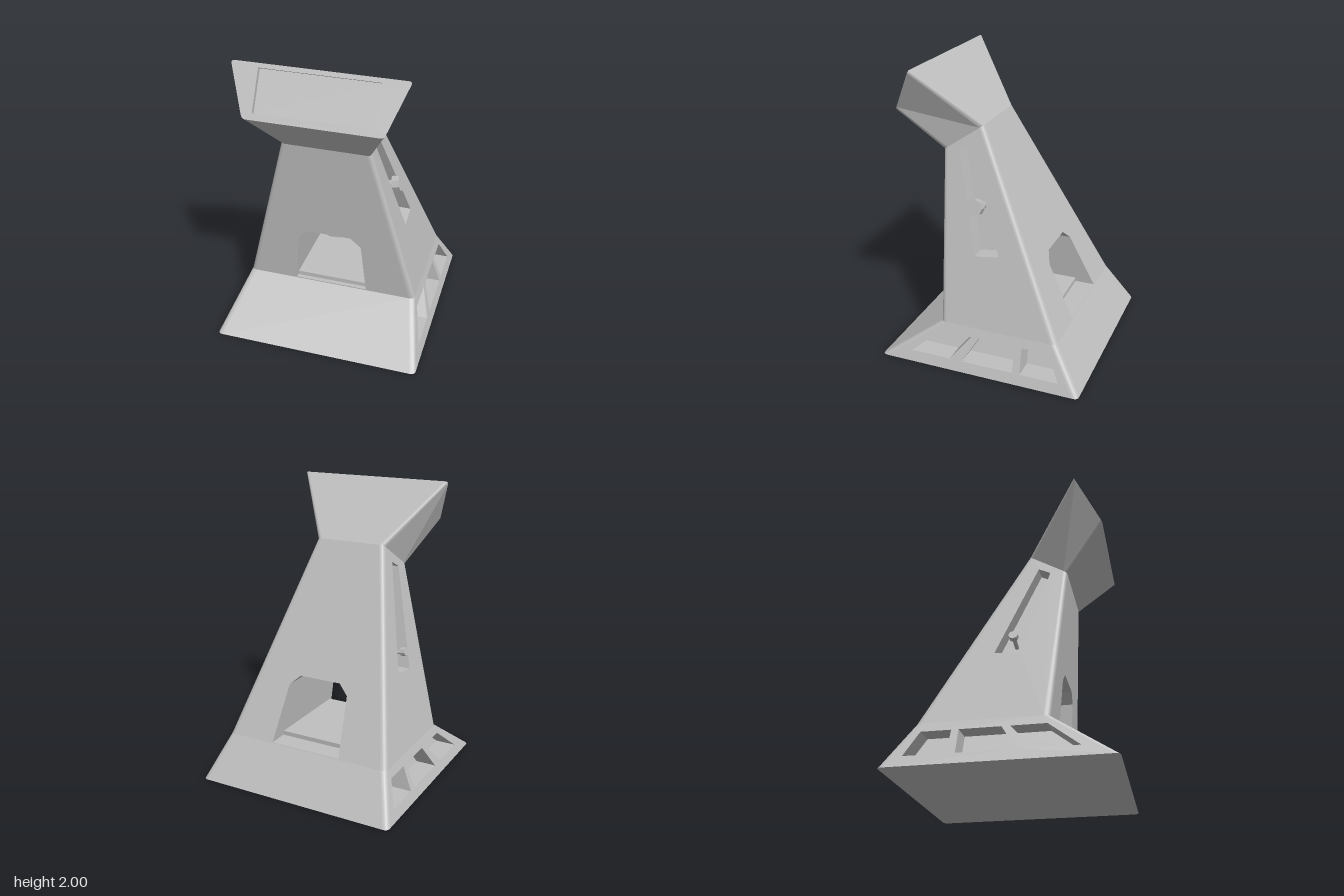
import * as THREE from 'three';
import { mergeGeometries } from 'three/addons/utils/BufferGeometryUtils.js';

const V = (x, y, z) => new THREE.Vector3(x, y, z);
const AXES = { x: ['z', 'y'], y: ['x', 'z'], z: ['x', 'y'] };

// Returns a function that lifts a 2D point onto the plane of pts along one axis
function lifter(pts, drop) {
  const [u, v] = AXES[drop];
  const a = pts[0];
  const n = pts[1].clone().sub(a).cross(pts[2].clone().sub(a));
  return (p, q) => {
    const r = V(0, 0, 0);
    r[u] = p;
    r[v] = q;
    r[drop] = a[drop] - (n[u] * (p - a[u]) + n[v] * (q - a[v])) / n[drop];
    return r;
  };
}

// Flat panel with holes; winding is turned to agree with the outward direction
function panel(pts, drop, out, holes = [], plane = pts) {
  const [u, v] = AXES[drop];
  const shape = new THREE.Shape(pts.map(p => new THREE.Vector2(p[u], p[v])));
  for (const h of holes) shape.holes.push(new THREE.Path(h.map(p => new THREE.Vector2(...p))));
  const geo = new THREE.ShapeGeometry(shape).toNonIndexed();
  const lift = lifter(plane, drop), pos = geo.attributes.position;
  for (let i = 0; i < pos.count; i++) pos.setXYZ(i, ...lift(pos.getX(i), pos.getY(i)).toArray());
  geo.deleteAttribute('uv');
  geo.computeVertexNormals();
  if (V(0, 0, 0).fromBufferAttribute(geo.attributes.normal, 0).dot(out) < 0) {
    for (let i = 0; i < pos.count; i += 3) {
      const b = V(0, 0, 0).fromBufferAttribute(pos, i + 1);
      const c = V(0, 0, 0).fromBufferAttribute(pos, i + 2);
      pos.setXYZ(i + 1, c.x, c.y, c.z);
      pos.setXYZ(i + 2, b.x, b.y, b.z);
    }
    geo.computeVertexNormals();
  }
  return geo;
}

// Strip between two rows of points, smooth or faceted
function strip(a, b, closed, smooth) {
  const pos = [], idx = [], n = a.length;
  a.forEach((p, i) => pos.push(...p.toArray(), ...b[i].toArray()));
  for (let i = 0; i < (closed ? n : n - 1); i++) {
    const j = (i + 1) % n;
    idx.push(2 * i, 2 * j, 2 * i + 1, 2 * j, 2 * j + 1, 2 * i + 1);
  }
  let geo = new THREE.BufferGeometry();
  geo.setAttribute('position', new THREE.Float32BufferAttribute(pos, 3));
  geo.setIndex(idx);
  if (smooth) geo.computeVertexNormals();
  geo = geo.toNonIndexed();
  if (!smooth) geo.computeVertexNormals();
  return geo;
}

// Section ring: front and back edges, each corner rounded into an arc of points
function ring(xf, yf, zf, xb, yb, zb, r) {
  const c = [V(xf, yf, zf), V(xb, yb, zb), V(-xb, yb, zb), V(-xf, yf, zf)];
  return c.map((p, i) => {
    const near = q => p.clone().add(q.clone().sub(p).setLength(r));
    return new THREE.QuadraticBezierCurve3(near(c[(i + 3) % 4]), p, near(c[(i + 1) % 4])).getPoints(5);
  });
}

export function createModel() {
  const model = new THREE.Group();
  const grey = new THREE.MeshStandardMaterial({ color: 0xc0c0c0, side: THREE.DoubleSide });
  grey.name = 'light grey';
  const add = (name, geo) => {
    const m = new THREE.Mesh(geo, grey);
    m.name = name;
    model.add(m);
    return m;
  };

  // Sections: foot, ankle, neck, head face
  const k = 0.265, sideX = y => 0.6 - k * (y - 0.295);
  const rings = [
    ring(0.71, 0, 0.71, 0.71, 0, -0.71, 0.035),
    ring(0.6, 0.295, 0.3, 0.6, 0.295, -0.52, 0.035),
    ring(sideX(1.42), 1.42, 0.385, sideX(1.6), 1.6, 0.12, 0.03),
    ring(0.44, 1.7, 0.65, 0.56, 2, 0.48, 0.025),
  ];

  // Openings, given as [x, y] on front and back and [z, y] on the sides
  const tunnel = [[-0.255, 0.302], [0.255, 0.302], [0.222, 0.67], [0.15, 0.735], [-0.15, 0.735], [-0.222, 0.67]];
  const slot = [[0.27, 1.43], [0.19, 1.475], [-0.07, 0.785], [0.1, 0.765]];
  const pockets = [
    [[0.49, 0.07], [0.29, 0.235], [0.07, 0.235], [0.205, 0.07]],
    [[0.115, 0.07], [0.015, 0.235], [-0.245, 0.235], [-0.245, 0.07]],
    [[-0.3, 0.07], [-0.29, 0.235], [-0.48, 0.235], [-0.565, 0.07]],
  ];
  const screen = [[-0.38, 1.737], [0.38, 1.737], [0.38, 1.975], [-0.38, 1.975]];

  // Recess: walls running inward from an outline, closed by a floor
  const recess = (name, plane, drop, outline, inward) => {
    const lift = lifter(plane, drop);
    const rim = outline.map(p => lift(...p));
    const bed = rim.map(p => p.clone().add(inward));
    add(name, mergeGeometries([
      strip(rim, bed, true, false),
      panel(bed, drop, inward.clone().negate()),
    ]));
  };

  // Shell panels with rounded corners
  const names = ['base', 'body', 'head'];
  const outs = [V(1, 0, 0), V(0, 0, -1), V(-1, 0, 0), V(0, 0, 1)];
  const tunnelPlanes = [];
  for (let i = 0; i < 3; i++) {
    const parts = [];
    for (let j = 0; j < 4; j++) {
      const lo = rings[i], hi = rings[i + 1], n = (j + 1) % 4;
      parts.push(strip(lo[j], hi[j], false, true));
      const quad = [lo[j][5], lo[n][0], hi[n][0], hi[j][5]];
      const isSide = j % 2 === 0, drop = isSide ? 'x' : 'z';
      if (i === 2) {
        parts.push(strip([quad[0], quad[1]], [quad[3], quad[2]], false, false));
        continue;
      }
      const holes = isSide ? (i === 0 ? pockets : [slot]) : (i === 1 ? [tunnel] : []);
      parts.push(panel(quad, drop, outs[j], holes));
      if (isSide) {
        holes.forEach(h => recess(i === 0 ? 'basePocket' : 'sideSlot', quad, 'x', h,
          outs[j].clone().multiplyScalar(i === 0 ? -0.14 : -0.11)));
      } else if (i === 1) tunnelPlanes.push(lifter(quad, 'z'));
    }
    add(names[i], mergeGeometries(parts));
  }
  add('underside', panel(rings[0].flat(), 'y', V(0, -1, 0)));

  // Head face with sunken screen
  const face = rings[3].flat();
  const facePlane = [V(-0.44, 1.7, 0.65), V(0.44, 1.7, 0.65), V(0.56, 2, 0.48)];
  add('headFace', panel(face, 'z', V(0, 0, 1), [screen], facePlane));
  recess('screen', facePlane, 'z', screen, V(0, -0.17, -0.3).setLength(0.03));

  // Viewing tunnel, stage and lens
  const [back, front] = tunnelPlanes.map(lift => tunnel.map(p => lift(...p)));
  add('tunnelWalls', strip(front, back, true, false));
  add('stage', new THREE.BoxGeometry(0.5, 0.03, 0.65)).position.set(0, 0.317, -0.055);
  add('lens', new THREE.CylinderGeometry(0.105, 0.105, 0.1, 32)).position.set(0, 0.695, 0.12);

  // Focus knobs on short shafts, square to the sloping sides
  const knob = (side, x, y, z, r, depth, sides) => {
    const g = new THREE.Group();
    g.name = side > 0 ? 'largeKnob' : 'smallKnob';
    const cap = new THREE.Mesh(new THREE.CylinderGeometry(r, r, depth, sides).toNonIndexed(), grey);
    cap.geometry.computeVertexNormals();
    cap.name = 'knobCap';
    const shaft = new THREE.Mesh(new THREE.CylinderGeometry(r * 0.45, r * 0.45, 0.16, 16), grey);
    shaft.name = 'knobShaft';
    shaft.position.y = -0.08;
    g.add(cap, shaft);
    g.position.set(side * x, y, z);
    g.rotation.z = -side * (Math.PI / 2 - Math.atan(k));
    model.add(g);
  };
  knob(1, 0.41, 1.09, 0.115, 0.056, 0.05, 8);
  knob(-1, 0.452, 0.9, 0.05, 0.031, 0.034, 8);

  return model;
}
